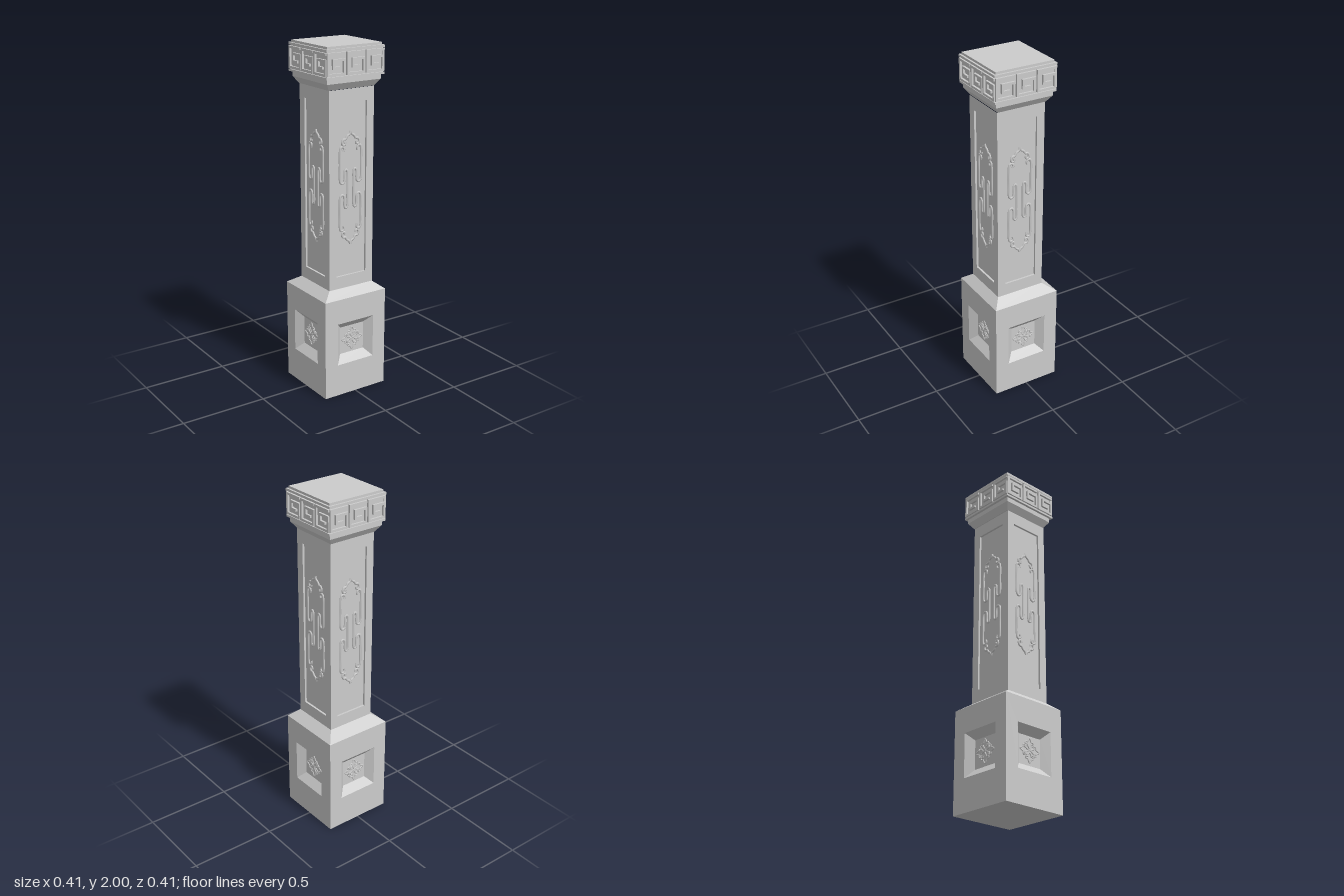
import * as THREE from 'three';

const material = new THREE.MeshStandardMaterial({ color: 0xcccccc });

// Loft through rectangles [halfWidth, yLow, yHigh, z], flat shaded
function rectLoft(rects) {
  const loops = rects.map(([w, lo, hi, z]) => [[-w, lo, z], [w, lo, z], [w, hi, z], [-w, hi, z]]);
  const pos = [];
  for (let r = 0; r + 1 < loops.length; r++) {
    const a = loops[r], b = loops[r + 1];
    for (let i = 0; i < 4; i++) {
      const j = (i + 1) % 4;
      pos.push(...a[i], ...a[j], ...b[j], ...a[i], ...b[j], ...b[i]);
    }
  }
  const g = new THREE.BufferGeometry();
  g.setAttribute('position', new THREE.Float32BufferAttribute(pos, 3));
  g.computeVertexNormals();
  return g;
}

// Stacked square moulding from [halfSize, height] pairs
const stack = (profile) =>
  rectLoft(profile.map(([h, y]) => [h, -h, h, y])).rotateX(-Math.PI / 2);

function add(parent, name, geometry, x = 0, y = 0, z = 0) {
  const m = new THREE.Mesh(geometry, material);
  m.name = name;
  m.position.set(x, y, z);
  parent.add(m);
  return m;
}

// Smooth raised cord through 2D points
function cord(points, radius, closed = false) {
  const curve = new THREE.CatmullRomCurve3(
    points.map(([x, y]) => new THREE.Vector3(x, y, 0)), closed, 'centripetal');
  return new THREE.TubeGeometry(curve, points.length * 5, radius, 6, closed);
}

// Four copies of a face, turned about the vertical axis
function fourSides(parent, name, build) {
  for (let i = 0; i < 4; i++) {
    const side = new THREE.Group();
    side.name = name;
    side.rotation.y = i * Math.PI / 2;
    build(side);
    parent.add(side);
  }
}

// Four-petal rosette
function addRosette(parent, y, z) {
  const rosette = new THREE.Group();
  rosette.name = 'rosette';
  rosette.position.set(0, y, z);
  const half = [[0.010, 0.024], [0.014, 0.034], [0.030, 0.034], [0.025, 0.046], [0.013, 0.047], [0.009, 0.056]];
  const petal = [[0, 0.012], ...half, [0, 0.069], ...half.map(([x, v]) => [-x, v]).reverse()];
  const loop = [[0, 0.002], [0.008, 0.018], [0.007, 0.030], [0, 0.036], [-0.007, 0.030], [-0.008, 0.018]];
  for (let i = 0; i < 4; i++) {
    add(rosette, 'petal', cord(petal, 0.004, true)).rotation.z = i * Math.PI / 2;
    add(rosette, 'innerLoop', cord(loop, 0.0035, true)).rotation.z = (i + 0.5) * Math.PI / 2;
  }
  parent.add(rosette);
}

// Scrollwork of meandering sides and pointed, curled ends
function addScrollwork(parent, y, z) {
  const scroll = new THREE.Group();
  scroll.name = 'scrollwork';
  scroll.position.set(0, y, z);
  const upper = [[0.046, 0.212], [0.042, 0.226], [0.050, 0.238], [0.064, 0.236], [0.070, 0.215], [0.070, 0.14],
    [0.070, 0.055], [0.065, 0.038], [0.055, 0.032], [0.044, 0.038], [0.040, 0.055], [0.040, 0.09],
    [0.037, 0.104], [0.030, 0.110], [0.023, 0.104], [0.020, 0.09], [0.020, 0.045]];
  const meander = [...upper, [0.020, 0], ...upper.map(([x, v]) => [x, -v]).reverse()];
  const finial = [[0, 0.322], [0.007, 0.306], [0.022, 0.296], [0.034, 0.280], [0.048, 0.278],
    [0.056, 0.262], [0.050, 0.248], [0.038, 0.250], [0.036, 0.262]];
  for (const sx of [-1, 1]) {
    add(scroll, 'meander', cord(meander.map(([x, v]) => [sx * x, v]), 0.007));
    for (const sy of [-1, 1])
      add(scroll, 'finial', cord(finial.map(([x, v]) => [sx * x, sy * v]), 0.007));
  }
  parent.add(scroll);
}

// Square spiral key made of straight bars
function addKey(parent, cx, cy, z) {
  const key = new THREE.Group();
  key.name = 'fretKey';
  key.position.set(cx, cy, z);
  const path = [[3, 3], [-3, 3], [-3, -3], [3, -3], [3, 1.1], [-1, 1.1], [-1, -1.1], [1.2, -1.1]];
  const u = 0.0172, v = 0.0182, bar = 0.013, depth = 0.014;
  for (let i = 0; i + 1 < path.length; i++) {
    const [x0, y0] = path[i], [x1, y1] = path[i + 1];
    add(key, 'keyBar',
      new THREE.BoxGeometry(Math.abs(x1 - x0) * u + bar, Math.abs(y1 - y0) * v + bar, depth),
      (x0 + x1) / 2 * u, (y0 + y1) / 2 * v, 0);
  }
  parent.add(key);
}

export function createModel() {
  const model = new THREE.Group();
  model.name = 'pillar';

  // Plinth with a sloped square niche and rosette on each side
  const plinth = new THREE.Group();
  plinth.name = 'plinth';
  fourSides(plinth, 'plinthSide', (side) => {
    add(side, 'nicheFace', rectLoft([[0.205, 0, 0.59, 0], [0.122, 0.19, 0.443, 0],
      [0.08, 0.235, 0.4, -0.04], [0, 0.3175, 0.3175, -0.04]]), 0, 0, 0.205);
    addRosette(side, 0.32, 0.166);
  });
  add(plinth, 'plinthBottom', stack([[0, 0], [0.205, 0]]));
  // Sloped shoulder, meeting the slightly forward shaft
  add(plinth, 'plinthShoulder', rectLoft([[0.205, -0.205, 0.205, 0.59],
    [0.146, -0.156, 0.136, 0.635]]).rotateX(-Math.PI / 2));
  model.add(plinth);

  // Shaft with a sunk panel and scrollwork on each side
  const shaft = new THREE.Group();
  shaft.name = 'shaft';
  shaft.position.z = 0.01;
  fourSides(shaft, 'shaftSide', (side) => {
    add(side, 'sunkPanel', rectLoft([[0.146, 0.635, 1.765, 0], [0.099, 0.707, 1.692, 0],
      [0.099, 0.707, 1.692, -0.012], [0, 1.2, 1.2, -0.012]]), 0, 0, 0.146);
    addScrollwork(side, 1.21, 0.135);
  });
  model.add(shaft);

  // Capital: flare, banded frieze and top slab
  const capital = new THREE.Group();
  capital.name = 'capital';
  capital.position.z = 0.006;
  add(capital, 'capitalMoulding', stack([[0.14, 1.765], [0.146, 1.765], [0.173, 1.803], [0.173, 1.83],
    [0.187, 1.83], [0.187, 1.842], [0.178, 1.842], [0.178, 1.974], [0.187, 1.974], [0.187, 1.987],
    [0.176, 1.987], [0.176, 2], [0, 2]]));
  fourSides(capital, 'friezeSide', (side) => {
    for (const i of [-1, 0, 1]) addKey(side, i * 0.124, 1.908, 0.183);
  });
  model.add(capital);

  return model;
}
